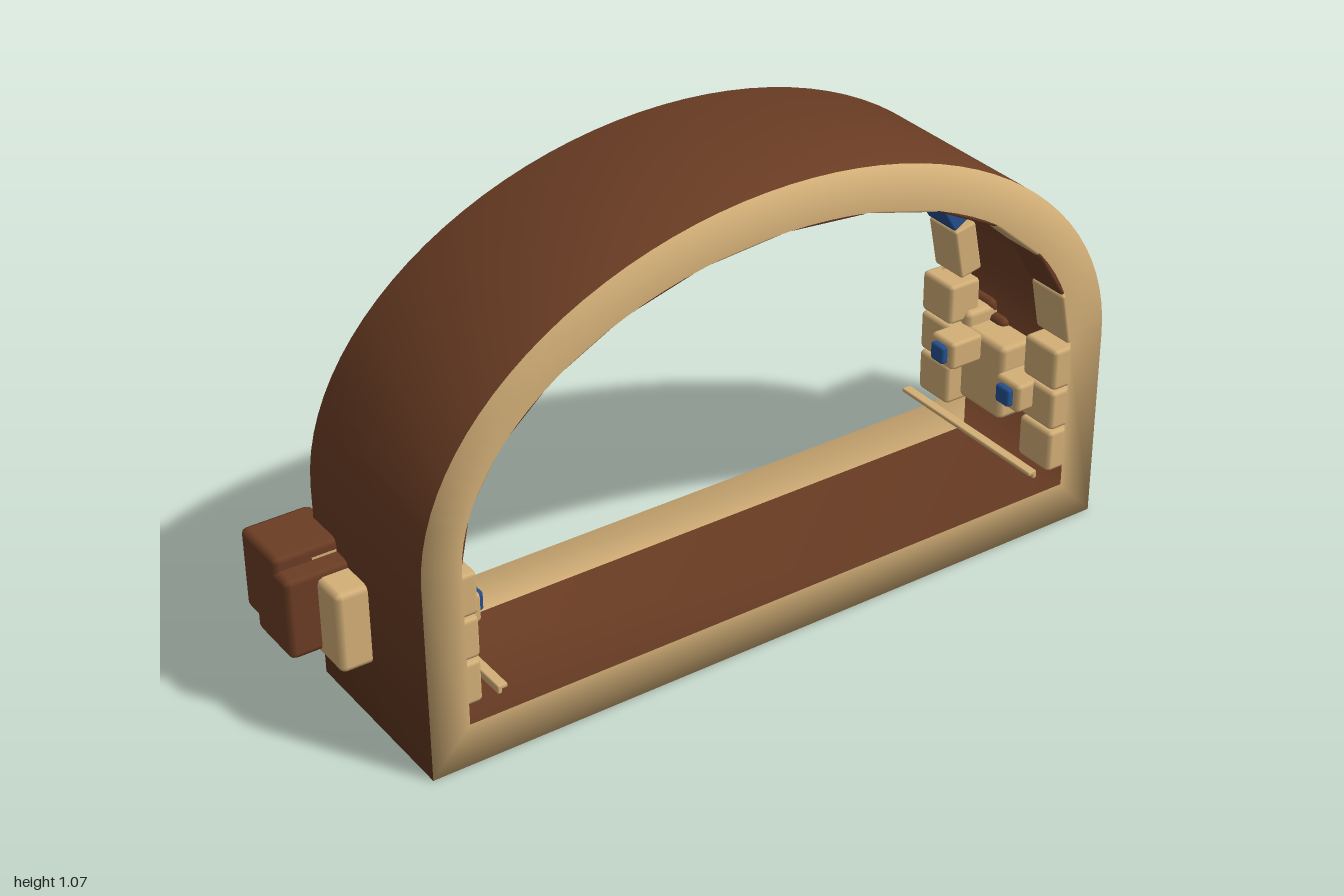
import * as THREE from 'three';
import { RoundedBoxGeometry } from 'three/addons/geometries/RoundedBoxGeometry.js';

const paint = (name, color, side = THREE.FrontSide) => {
  const m = new THREE.MeshStandardMaterial({ color, side });
  m.name = name;
  return m;
};

export function createModel() {
  const model = new THREE.Group();
  model.name = 'archway';
  const tan = paint('sandstone', 0xd4b078, THREE.DoubleSide);
  const brown = paint('brown', 0x6b3d24, THREE.DoubleSide);
  const blue = paint('blue', 0x24508f);

  // Bevelled block given by its min and max corners
  const block = (parent, name, mat, [x0, y0, z0], [x1, y1, z1], r = 0.01) => {
    const geo = new RoundedBoxGeometry(x1 - x0, y1 - y0, z1 - z0, 1, r);
    const mesh = new THREE.Mesh(geo, mat);
    mesh.position.set((x0 + x1) / 2, (y0 + y1) / 2, (z0 + z1) / 2);
    mesh.name = name;
    parent.add(mesh);
    return mesh;
  };

  // Arch outline, counter-clockwise: two floor corners, then the half ellipse
  const springY = 0.46, arcSteps = 48;
  const outline = (a, b, floorY) => {
    const pts = [[-a, floorY], [a, floorY]];
    for (let i = 0; i <= arcSteps; i++) {
      const t = (i / arcSteps) * Math.PI;
      pts.push([a * Math.cos(t), springY + b * Math.sin(t)]);
    }
    return pts;
  };

  // Thin shell and its two end rims, sharing vertices so the shading rolls over
  const zBack = -0.195, zFront = 0.25;
  const outer = outline(0.86, 0.613, 0), inner = outline(0.77, 0.51, 0.1);
  const loops = [[inner, zBack], [outer, zBack], [outer, zFront], [inner, zFront]];
  const n = outer.length, pos = [], index = [];
  for (const [pts, z] of loops) for (const [x, y] of pts) pos.push(x, y, z);
  for (const j of [0, 2, 1]) {
    for (let i = 0; i < n; i++) {
      const a = j * n + i, b = j * n + (i + 1) % n;
      index.push(a, b, b + n, a, b + n, a + n);
    }
  }
  const shellGeo = new THREE.BufferGeometry();
  shellGeo.setAttribute('position', new THREE.Float32BufferAttribute(pos, 3));
  shellGeo.setIndex(index);
  shellGeo.addGroup(0, 12 * n, 0);
  shellGeo.addGroup(12 * n, 6 * n, 1);
  shellGeo.computeVertexNormals();
  const shell = new THREE.Mesh(shellGeo, [tan, brown]);
  shell.name = 'archShellAndRims';
  model.add(shell);

  // Rows of alternating stones along the rims
  const stoneRow = (name, accent, z0, z1) => {
    const row = new THREE.Group();
    row.name = name;
    const count = 12;
    const at = (t) => new THREE.Vector2(0.79 * Math.cos(t), springY + 0.53 * Math.sin(t));
    for (let i = 0; i < count; i++) {
      const p = at((i / count) * Math.PI), q = at(((i + 1) / count) * Math.PI);
      const mid = at(((i + 0.5) / count) * Math.PI);
      const len = p.distanceTo(q) - 0.012;
      const stone = block(row, 'stone', i % 2 ? accent : tan,
        [-len / 2, -0.03, z0], [len / 2, 0.03, z1], 0.006);
      stone.position.x = mid.x;
      stone.position.y = mid.y;
      stone.rotation.z = Math.atan2(q.y - p.y, q.x - p.x);
    }
    model.add(row);
  };
  stoneRow('backStones', blue, -0.217, -0.12);
  stoneRow('frontStones', brown, 0.14, 0.245);

  // Fittings on each side wall, built on +x and turned into mirrored positions
  for (const s of [1, -1]) {
    const side = new THREE.Group();
    side.name = s > 0 ? 'leftFittings' : 'rightFittings';
    const add = (name, mat, x0, x1, y0, y1, z0, z1, r) =>
      block(side, name, mat, [s > 0 ? x0 : -x1, y0, z0], [s > 0 ? x1 : -x0, y1, z1], r);

    // Stacked blocks below the stones, with a blue-tipped knob
    for (const [z0, z1, knobZ] of [[-0.22, -0.115, -0.09], [0.14, 0.245, 0.14]]) {
      for (const [y0, y1] of [[0.14, 0.242], [0.248, 0.345], [0.35, 0.45]])
        add('columnBlock', tan, 0.733, 0.82, y0, y1, z0, z1);
      add('knobBase', tan, 0.69, 0.78, 0.275, 0.345, knobZ - 0.04, knobZ + 0.04);
      add('knobTip', blue, 0.675, 0.70, 0.288, 0.332, knobZ - 0.022, knobZ + 0.022, 0.006);
    }

    // Stepped boxes passing through the wall
    add('wallBoxFront', tan, 0.775, 0.93, 0.15, 0.34, -0.13, 0.025, 0.014);
    add('wallBoxBack', tan, 0.775, 0.93, 0.185, 0.375, -0.249, -0.1, 0.014);
    add('outerBoxFront', brown, 0.84, 1.0, 0.165, 0.355, -0.205, -0.055, 0.014);
    add('outerBoxBack', brown, 0.84, 1.0, 0.195, 0.385, -0.25, -0.1, 0.014);

    // Slim rail running through the arch
    add('rail', tan, 0.677, 0.7, 0.15, 0.16, -0.21, 0.245, 0.003);
    add('railLip', tan, 0.69, 0.7, 0.14, 0.155, -0.21, 0.245, 0.003);
    model.add(side);
  }
  return model;
}
